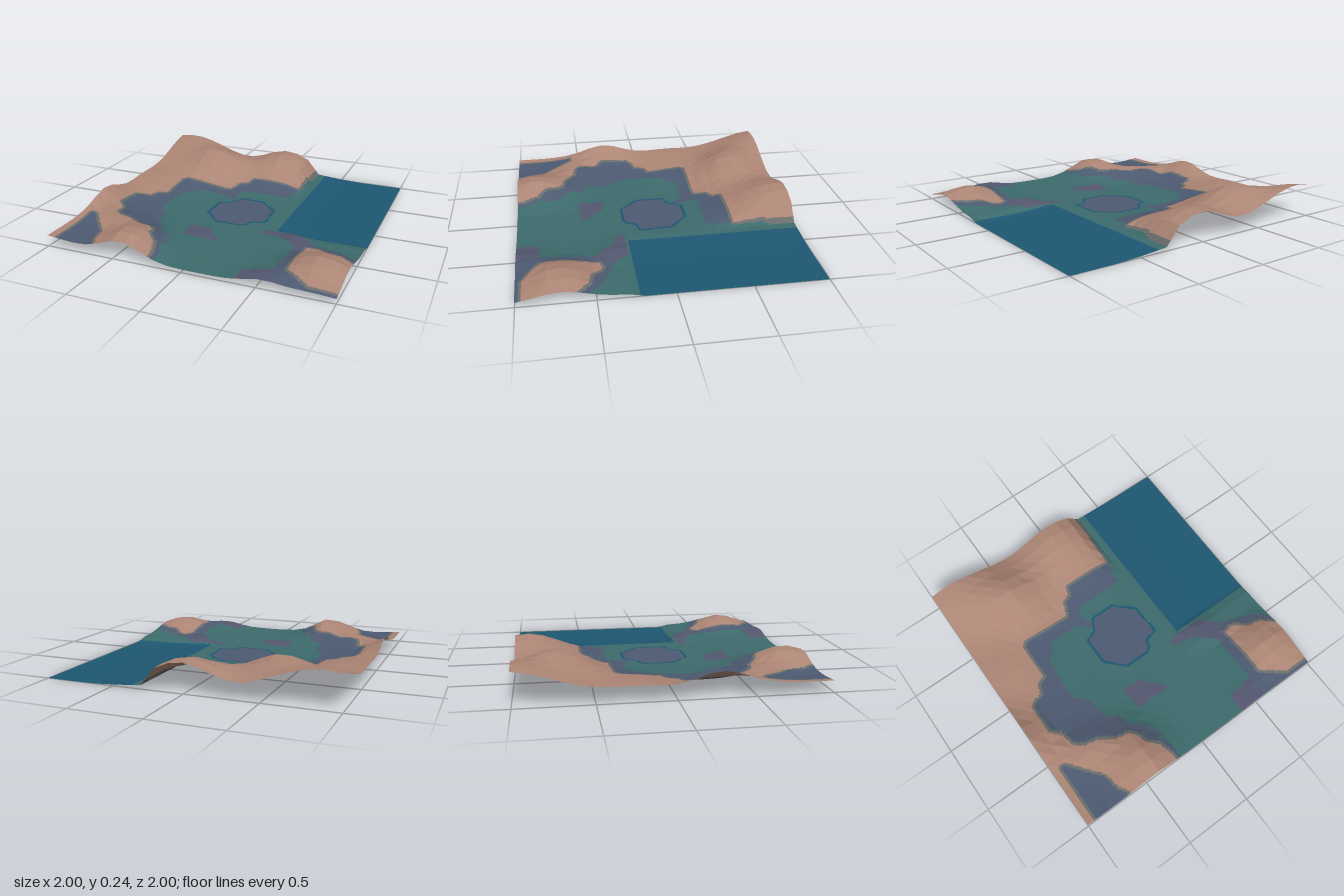
import * as THREE from 'three';

const CELLS = 20;  // coarse facets per side
const SUB = 10;    // colour squares per facet side
const STEP = 2 / CELLS;

const paint = (color) => new THREE.MeshStandardMaterial({ color, side: THREE.DoubleSide, flatShading: true });

// Hills: centre x, z, radius x, z, height
const hills = [
  [-0.85, -1.05, 0.38, 0.4, 0.177],
  [-0.5, -0.68, 0.25, 0.24, 0.157],
  [0.02, -0.92, 0.3, 0.36, 0.187],
  [-0.82, -0.25, 0.3, 0.22, 0.035],
  [-1, 0.28, 0.12, 0.22, 0.095],
  [-0.72, 0.56, 0.18, 0.16, 0.05],
  [-0.43, 0.86, 0.2, 0.28, 0.138],
  [0.82, 0.72, 0.24, 0.22, 0.11],
  [0.5, 0.36, 0.12, 0.1, 0.035],
  [0.53, 0.97, 0.15, 0.15, 0.038],
  [-0.1, 0.46, 0.1, 0.08, 0.012],
];

// Height at a lattice corner
function cornerHeight(x, z) {
  if (x > 0.29 && z < 0.21) { // river bed, cut off from the hills by a steep bank
    return 0.025 * Math.max(0, 1 - (x - 0.3) / 0.4) ** 1.5;
  }
  let y = 0.021 + 0.058 * Math.max(0, (-x - 0.3) / 0.7) ** 1.3;
  for (const [cx, cz, rx, rz, h] of hills) {
    if (x > 0.29 && cx < 0.2) continue;
    y += h * Math.exp(-(((x - cx) / rx) ** 2) - ((z - cz) / rz) ** 2);
  }
  return y;
}

// Flat-faceted height anywhere on the land
const lattice = [];
for (let j = 0; j <= CELLS; j++) {
  lattice.push([]);
  for (let i = 0; i <= CELLS; i++) lattice[j].push(cornerHeight(-1 + i * STEP, -1 + j * STEP));
}
function heightAt(x, z) {
  const u = (x + 1) / STEP, v = (z + 1) / STEP;
  const i = Math.min(CELLS - 1, Math.floor(u + 1e-6)), j = Math.min(CELLS - 1, Math.floor(v + 1e-6));
  const a = u - i, b = v - j;
  const p = lattice[j][i], q = lattice[j + 1][i + 1];
  const side = a > b ? lattice[j][i + 1] : lattice[j + 1][i];
  return a > b ? p + a * (side - p) + b * (q - side) : p + b * (side - p) + a * (q - side);
}

// Outlines of the coloured areas, as x, z points
const outlines = {
  sandLeft: [[-1.1, -1.1], [0.275, -1.1], [0.275, -0.82], [0.262, -0.78], [0.255, -0.55], [-0.12, -0.55],
    [-0.15, -0.48], [-0.21, -0.46], [-0.25, -0.36], [-0.63, -0.36], [-0.66, -0.32], [-0.66, -0.06],
    [-0.73, -0.03], [-0.75, 0.04], [-0.83, 0.06], [-0.86, 0.1], [-0.86, 0.32], [-0.8, 0.37], [-0.77, 0.5],
    [-0.7, 0.55], [-0.62, 0.56], [-0.5, 0.64], [-0.4, 0.66], [-0.37, 0.7], [-0.35, 0.78], [-0.28, 0.84],
    [-0.24, 0.95], [-0.24, 1.1], [-1.1, 1.1]],
  sandRight: [[0.65, 0.46], [0.7, 0.44], [0.75, 0.46], [0.8, 0.52], [0.9, 0.54], [1.1, 0.7], [1.1, 0.96],
    [0.82, 0.96], [0.76, 0.92], [0.65, 0.84]],
  pond: [[-0.93, 0.58], [-0.9, 0.58], [-0.78, 0.73], [-0.72, 0.8], [-0.7, 0.92], [-0.66, 0.98], [-0.66, 1.1],
    [-0.93, 1.1]],
  slateLeft: [[-1.1, -1.1], [0.26, -1.1], [0.26, -0.5], [0.23, -0.36], [-0.14, -0.36], [-0.16, -0.3],
    [-0.13, -0.22], [-0.13, -0.15], [-0.22, -0.25], [-0.46, -0.25], [-0.48, -0.18], [-0.55, -0.15],
    [-0.57, 0], [-0.57, 0.2], [-0.48, 0.28], [-0.47, 0.45], [-0.38, 0.5], [-0.36, 0.6], [-0.28, 0.66],
    [-0.22, 0.75], [-0.24, 0.82], [-0.2, 0.9], [-0.2, 1.1], [-1.1, 1.1]],
  slateRight: [[0.56, 0.46], [0.62, 0.34], [0.7, 0.38], [0.8, 0.42], [0.9, 0.46], [1.1, 0.62], [1.1, 1.1],
    [0.56, 1.1]],
  ridge: [[0.26, 0.28], [0.3, 0.25], [0.54, 0.25], [0.64, 0.34], [0.62, 0.5], [0.56, 0.46], [0.4, 0.33],
    [0.28, 0.31]],
  frontPatch: [[0.36, 0.87], [0.42, 0.85], [0.56, 0.84], [0.58, 1.1], [0.36, 1.1]],
  middlePatch: [[-0.24, 0.36], [-0.1, 0.37], [0.03, 0.5], [0.03, 0.54], [-0.23, 0.54]],
  pool: [[-0.09, -0.22], [0.08, -0.22], [0.21, -0.1], [0.22, 0.12], [0.13, 0.14], [0.11, 0.2], [0.08, 0.22],
    [-0.1, 0.22], [-0.22, 0.1], [-0.22, -0.1], [-0.14, -0.13], [-0.12, -0.17]],
};

function inside(name, x, z) {
  const o = outlines[name];
  let hit = false;
  for (let i = 0, k = o.length - 1; i < o.length; k = i++) {
    const [ax, az] = o[i], [bx, bz] = o[k];
    if ((az > z) !== (bz > z) && x < ax + ((z - az) * (bx - ax)) / (bz - az)) hit = !hit;
  }
  return hit;
}
function near(name, x, z, range) {
  return outlines[name].some(([ax, az], i, o) => {
    const [bx, bz] = o[(i + 1) % o.length];
    const dx = bx - ax, dz = bz - az;
    const t = THREE.MathUtils.clamp(((x - ax) * dx + (z - az) * dz) / (dx * dx + dz * dz), 0, 1);
    return Math.hypot(x - ax - t * dx, z - az - t * dz) < range;
  });
}

// Which ground covers a point
function groundAt(x, z) {
  if (inside('pond', x, z)) return 'slateGround';
  if (near('pond', x, z, 0.02)) return 'shoreBand';
  if (inside('sandLeft', x, z) || inside('sandRight', x, z)) return 'sandHills';
  if (near('sandLeft', x, z, 0.022) || near('sandRight', x, z, 0.022)) return 'shoreBand';
  if (x > 0.36 && z < 0.235) return 'water';
  if (inside('pool', x, z)) return 'slateGround';
  if (near('pool', x, z, 0.018)) return 'water';
  if (['ridge', 'frontPatch', 'middlePatch'].some((n) => inside(n, x, z))) return 'purplePatches';
  if (inside('slateLeft', x, z) || inside('slateRight', x, z)) return 'slateGround';
  return 'greenLowland';
}

export function createModel() {
  const materials = {
    sandHills: paint(0xac8575),
    shoreBand: paint(0x696d6b),
    slateGround: paint(0x4d5a71),
    purplePatches: paint(0x545870),
    greenLowland: paint(0x3d6b6c),
    water: paint(0x1e5772),
  };
  const points = {};
  for (const name in materials) {
    materials[name].name = name;
    points[name] = [];
  }

  // Small squares laid on the facets, gathered by ground type
  const n = CELLS * SUB, s = 2 / n;
  const put = (list, x, z) => list.push(x, heightAt(x, z), z);
  for (let j = 0; j < n; j++) {
    for (let i = 0; i < n; i++) {
      const x = -1 + i * s, z = -1 + j * s;
      const list = points[groundAt(x + s / 2, z + s / 2)];
      put(list, x, z); put(list, x + s, z + s); put(list, x + s, z);
      put(list, x, z); put(list, x, z + s); put(list, x + s, z + s);
    }
  }

  const model = new THREE.Group();
  model.name = 'terrain';
  for (const name in points) {
    const geometry = new THREE.BufferGeometry();
    geometry.setAttribute('position', new THREE.Float32BufferAttribute(points[name], 3));
    geometry.computeVertexNormals();
    const mesh = new THREE.Mesh(geometry, materials[name]);
    mesh.name = name;
    model.add(mesh);
  }
  return model;
}
